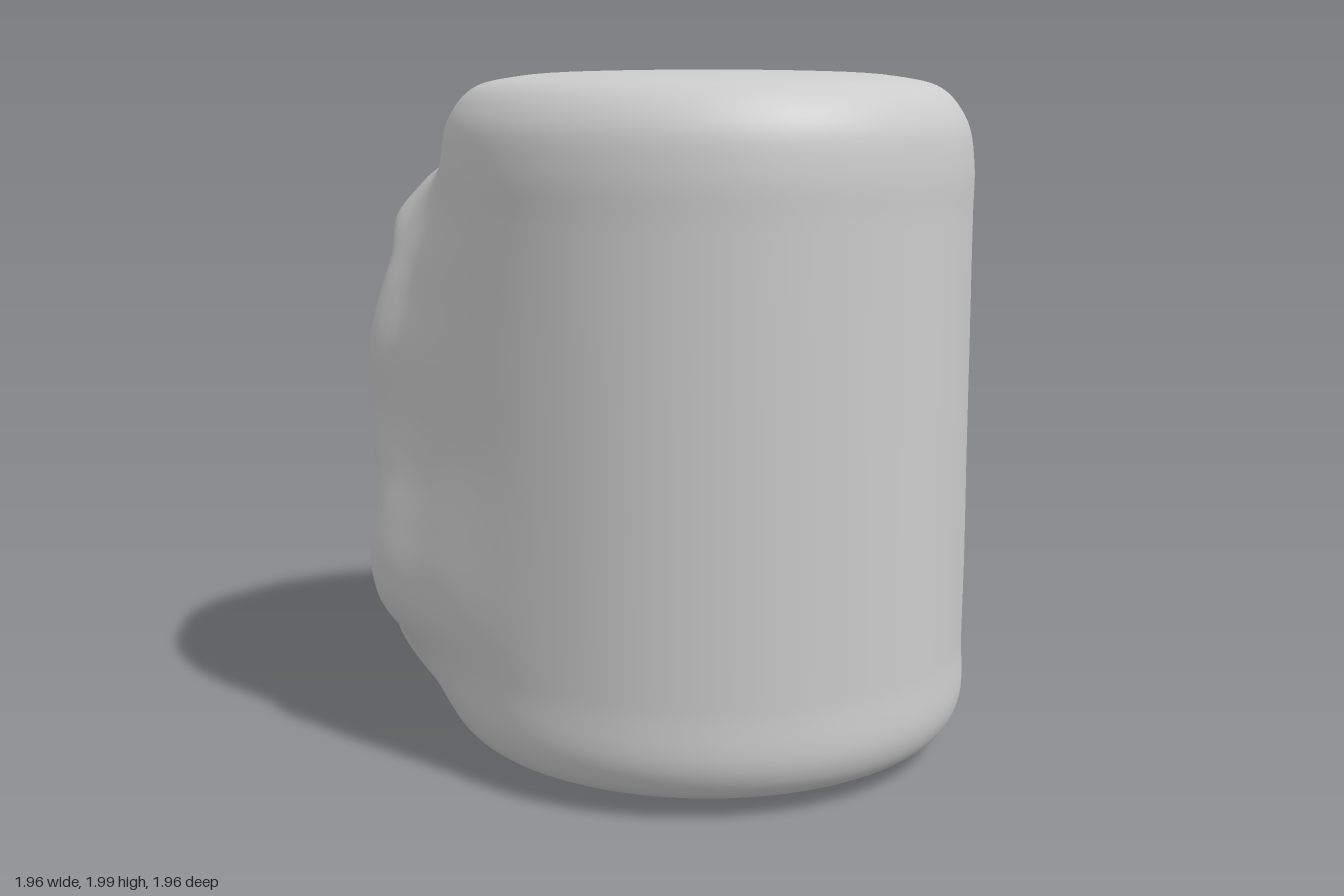
import * as THREE from 'three';
import { mergeVertices } from 'three/addons/utils/BufferGeometryUtils.js';

const RADIUS = 0.775, AXIS_Z = 0.2, STEPS = 6;

// Rounded rims shared by every vertical section: radius, height
const TOP = [[0, 2], [0.3, 2], [0.55, 1.985], [0.68, 1.95], [0.752, 1.86]];
const BASE = [[0.73, 0.08], [0.6, 0.03], [0.35, 0.01], [0, 0.01]];

// Vertical face sections, each: forehead, brow, brow edge, socket, eye or nose bridge,
// nose tip or cheek, lip top, upper lip, mouth, lower lip, chin, chin underside
const nose = [[0.79, 1.72], [0.92, 1.58], [0.965, 1.44], [0.87, 1.33], [1.04, 1.17], [1.18, 0.96],
  [1.08, 0.8], [1.03, 0.66], [0.8, 0.57], [0.95, 0.47], [1.04, 0.34], [1.0, 0.17]];
const noseSide = [[0.79, 1.74], [0.95, 1.6], [1.01, 1.47], [0.86, 1.36], [0.86, 1.18], [0.98, 0.98],
  [0.98, 0.83], [1.02, 0.68], [0.82, 0.59], [0.93, 0.48], [1.03, 0.34], [0.99, 0.18]];
const innerEye = [[0.79, 1.76], [0.95, 1.64], [1.01, 1.51], [0.85, 1.4], [0.91, 1.2], [1.0, 1.0],
  [0.92, 0.85], [1.0, 0.7], [0.83, 0.6], [0.91, 0.49], [1.0, 0.33], [0.95, 0.18]];
const eye = [[0.79, 1.78], [0.92, 1.68], [0.99, 1.56], [0.84, 1.45], [0.96, 1.2], [0.95, 0.98],
  [0.87, 0.85], [0.97, 0.71], [0.84, 0.61], [0.9, 0.5], [0.96, 0.32], [0.92, 0.18]];
const eyeCorner = [[0.785, 1.76], [0.89, 1.66], [0.97, 1.55], [0.85, 1.43], [0.86, 1.21], [1.0, 1.02],
  [0.92, 0.86], [0.93, 0.71], [0.85, 0.61], [0.88, 0.5], [0.96, 0.32], [0.88, 0.17]];
const cheekRim = [[0.78, 1.74], [0.85, 1.61], [0.92, 1.49], [0.97, 1.37], [1.01, 1.2], [1.01, 1.02],
  [1.0, 0.87], [0.94, 0.73], [0.91, 0.61], [0.94, 0.47], [0.95, 0.33], [0.84, 0.16]];
const mouthRim = [[0.775, 1.74], [0.8, 1.6], [0.84, 1.48], [0.87, 1.36], [0.91, 1.2], [0.92, 1.0],
  [0.95, 0.86], [0.985, 0.72], [1.005, 0.58], [0.98, 0.45], [0.89, 0.32], [0.8, 0.16]];

// Fade the outermost face section into the plain cylinder
const fade = (k) => mouthRim.map(([r, y]) => [RADIUS + (r - RADIUS) * k, y]);

// Sections by angle from the middle of the face
const sections = [
  [0, nose], [20, noseSide], [33, innerEye], [45, eye], [56, eyeCorner], [66, cheekRim], [76, mouthRim],
  [91, fade(0.48)], [106, fade(0.13)], [122, fade(0)], [140, fade(0)], [160, fade(0)], [180, fade(0)],
].map(([deg, pts]) => [deg * Math.PI / 180, [...TOP, ...pts, ...BASE]]);

function sampleCurve(points) {
  const n = (points.length - 1) * STEPS;
  const curve = new THREE.CatmullRomCurve3(points, false, 'centripetal');
  return Array.from({ length: n + 1 }, (_, i) => curve.getPoint(i / n));
}

function headGeometry() {
  // Smooth each landmark around one half, as (angle, radius, height), and mirror it
  const rings = sections[0][1].map((_, j) => {
    const half = sampleCurve(sections.map(([a, pts]) => new THREE.Vector3(a, pts[j][0], pts[j][1])));
    const mirrored = half.slice(1).reverse().map((p) => new THREE.Vector3(-p.x, p.y, p.z));
    return [...mirrored, ...half];
  });
  const cols = rings[0].length;
  const positions = [], indices = [];
  let rows = 0;
  for (let i = 0; i < cols; i++) {
    // Then smooth each section from crown to base
    const section = sampleCurve(rings.map((ring) => {
      const { x: a, y: r, z: h } = ring[i];
      return new THREE.Vector3(r * Math.sin(a), h, AXIS_Z - r * Math.cos(a));
    }));
    rows = section.length;
    section.forEach((p) => positions.push(p.x, p.y, p.z));
  }
  for (let i = 0; i < cols - 1; i++) {
    for (let j = 0; j < rows - 1; j++) {
      const a = i * rows + j, b = a + rows;
      if (j > 0) indices.push(a, b, a + 1);
      if (j < rows - 2) indices.push(b, b + 1, a + 1);
    }
  }
  const geometry = new THREE.BufferGeometry();
  geometry.setAttribute('position', new THREE.Float32BufferAttribute(positions, 3));
  geometry.setIndex(indices);
  const welded = mergeVertices(geometry, 1e-4); // close the seam and the poles
  welded.computeVertexNormals();
  return welded;
}

export function createModel() {
  const group = new THREE.Group();
  group.name = 'carvedHead';
  const head = new THREE.Mesh(headGeometry(), new THREE.MeshStandardMaterial({ color: 0xcccccc }));
  head.name = 'head';
  group.add(head);
  return group;
}
